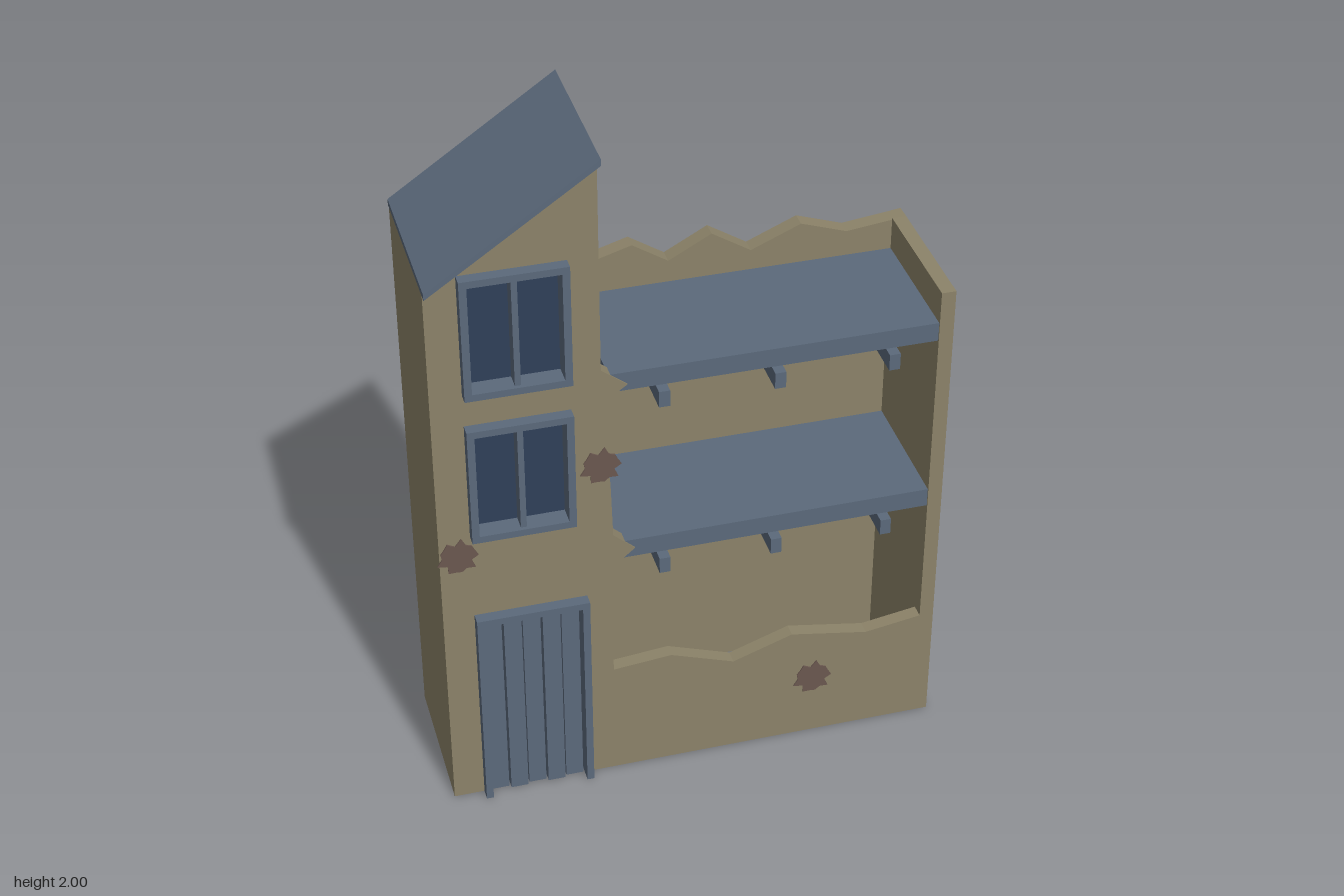
import * as THREE from 'three';

const mat = (name, color) => {
  const m = new THREE.MeshStandardMaterial({ color });
  m.name = name;
  return m;
};

export function createModel() {
  const plaster = mat('plaster', 0x8c8369);
  const slate = mat('slate', 0x5b697b);
  const glass = mat('darkGlass', 0x2f4059);
  const stain = mat('brownStain', 0x6b5850);

  const model = new THREE.Group();
  model.name = 'ruinedHouse';

  const add = (name, geometry, material, parent = model) => {
    const mesh = new THREE.Mesh(geometry, material);
    mesh.name = name;
    parent.add(mesh);
    return mesh;
  };
  // box given by its min and max corners
  const box = (name, x0, x1, y0, y1, z0, z1, material, parent) => {
    const g = new THREE.BoxGeometry(x1 - x0, y1 - y0, z1 - z0);
    g.translate((x0 + x1) / 2, (y0 + y1) / 2, (z0 + z1) / 2);
    return add(name, g, material, parent);
  };
  const vecs = (pts) => pts.map(([x, y]) => new THREE.Vector2(x, y));
  const rect = (x0, x1, y0, y1) => [[x0, y0], [x1, y0], [x1, y1], [x0, y1]];
  // outline in x and y, extruded between two z values
  const slab = (name, pts, z0, z1, material, holes = [], parent = model) => {
    const shape = new THREE.Shape(vecs(pts));
    holes.forEach((h) => shape.holes.push(new THREE.Path(vecs(h))));
    const g = new THREE.ExtrudeGeometry(shape, { depth: z1 - z0, bevelEnabled: false });
    g.translate(0, 0, z0);
    return add(name, g, material, parent);
  };

  const windowBottoms = [0.905, 1.355];
  const windowHeight = 0.355;

  // front wall with door notch, window holes and a large broken opening
  slab('frontWall', [
    [-0.7, 0], [-0.605, 0], [-0.605, 0.63], [-0.315, 0.63], [-0.315, 0],
    [0.7, 0], [0.7, 1.44], [0.66, 1.44],
    [0.66, 0.355], [0.5, 0.33], [0.28, 0.37], [0.11, 0.31], [-0.07, 0.375], [-0.235, 0.36],
    [-0.235, 0.72], [-0.17, 0.775], [-0.23, 0.83], [-0.235, 1.0], [-0.245, 1.12], [-0.242, 1.27],
    [-0.185, 1.31], [-0.255, 1.365], [-0.255, 1.71], [-0.643, 1.71], [-0.7, 1.67],
  ], 0.16, 0.2, plaster, windowBottoms.map((y) => rect(-0.605, -0.345, y + 0.01, y + windowHeight - 0.01)));

  // thin gable closing the front under the roof
  slab('frontGable', [[-0.643, 1.71], [-0.255, 1.71], [-0.255, 1.98]], 0.195, 0.2, plaster);

  // back wall with a broken top edge
  slab('backWall', [
    [-0.7, 0], [0.7, 0], [0.7, 1.44], [0.66, 1.435], [0.53, 1.42], [0.4, 1.465], [0.26, 1.405],
    [0.15, 1.475], [0.03, 1.41], [-0.07, 1.475], [-0.255, 1.42], [-0.255, 1.98], [-0.7, 1.67],
  ], -0.235, -0.19, plaster);

  box('rightSideWall', -0.7, -0.66, 0, 1.675, -0.19, 0.16, plaster);
  box('leftSideWall', 0.66, 0.7, 0, 1.44, -0.19, 0.16, plaster);

  // sloping roof over the tower
  slab('roof', [[-0.702, 1.675], [-0.253, 1.982], [-0.253, 2], [-0.702, 1.692]], -0.235, 0.235, slate);

  // exposed floors on beams
  [0.745, 1.29].forEach((y) => {
    const floor = new THREE.Group();
    floor.name = 'floor';
    model.add(floor);
    box('floorSlab', -0.235, 0.66, y, y + 0.055, -0.19, 0.196, slate, floor);
    [-0.095, 0.217, 0.53].forEach((x) =>
      box('floorBeam', x - 0.015, x + 0.015, y - 0.048, y, -0.19, 0.228, slate, floor));
  });

  // windows: frame, mullion and recessed pane
  windowBottoms.forEach((y) => {
    const win = new THREE.Group();
    win.name = 'window';
    model.add(win);
    const top = y + windowHeight;
    slab('windowFrame', rect(-0.615, -0.335, y, top), 0.16, 0.233, slate,
      [rect(-0.595, -0.355, y + 0.02, top - 0.02)], win);
    box('mullion', -0.483, -0.467, y + 0.02, top - 0.02, 0.175, 0.222, slate, win);
    box('pane', -0.597, -0.353, y + 0.018, top - 0.018, 0.17, 0.178, glass, win);
  });

  // plank door in a three-sided frame
  const door = new THREE.Group();
  door.name = 'door';
  model.add(door);
  slab('doorFrame', [
    [-0.615, 0], [-0.595, 0], [-0.595, 0.62], [-0.325, 0.62],
    [-0.325, 0], [-0.305, 0], [-0.305, 0.64], [-0.615, 0.64],
  ], 0.16, 0.233, slate, [], door);
  for (let i = 0; i < 5; i++) {
    const x = -0.593 + i * 0.0535;
    box('doorPlank', x, x + 0.049, 0.005, 0.62, 0.18, i % 2 ? 0.212 : 0.204, slate, door);
  }

  // ragged stains on the plaster
  [[0.345, 0.2], [-0.26, 1.065], [-0.65, 0.845]].forEach(([cx, cy]) => {
    const pts = [];
    for (let i = 0; i < 18; i++) {
      const a = (i / 18) * Math.PI * 2;
      const r = 0.049 + 0.006 * Math.sin(i * 2.1) + (i % 2 ? -0.006 : 0.006);
      pts.push([cx + r * Math.cos(a), cy + r * Math.sin(a)]);
    }
    slab('stain', pts, 0.2, 0.204, stain);
  });

  return model;
}
